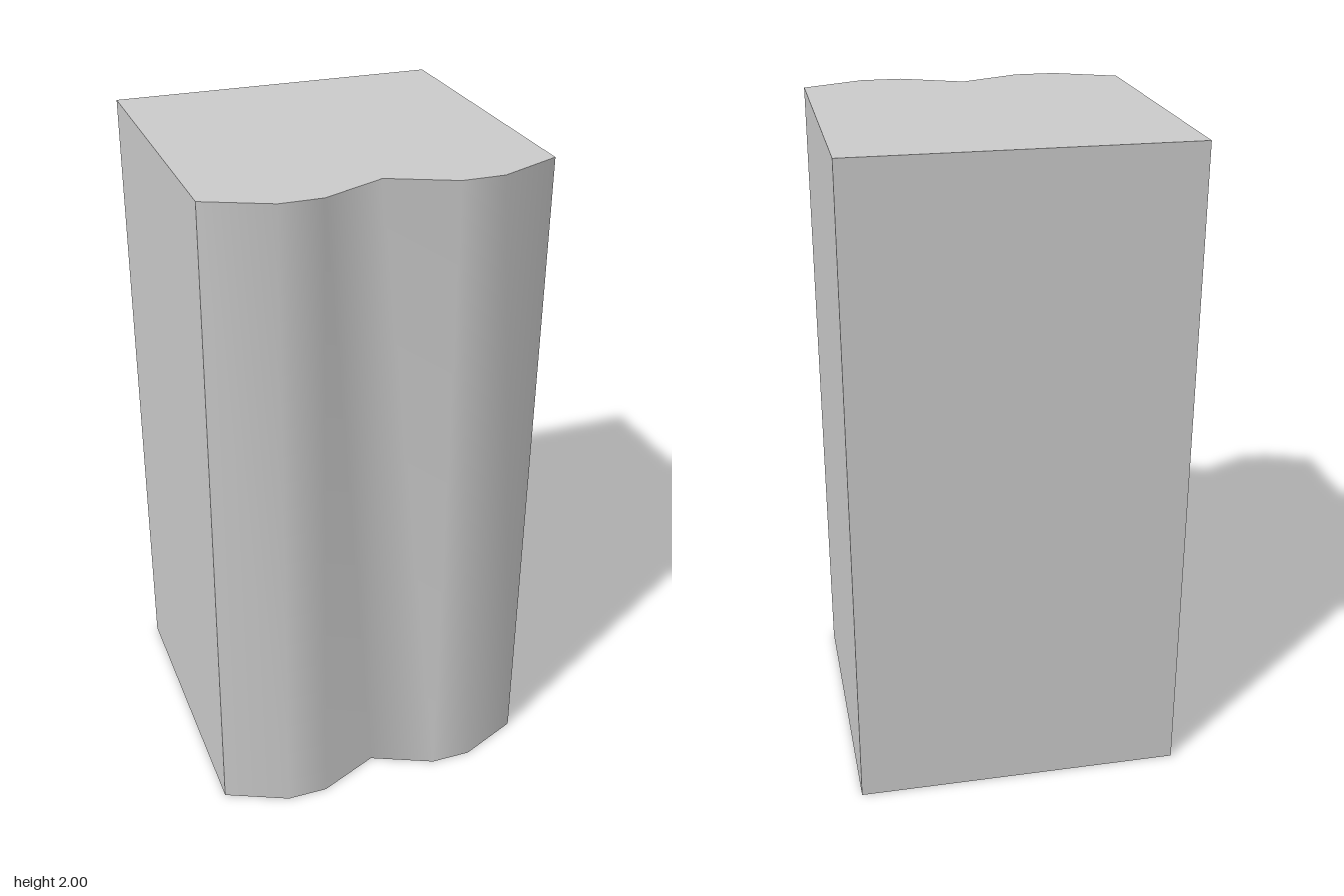
import * as THREE from 'three';
import { toCreasedNormals } from 'three/addons/utils/BufferGeometryUtils.js';

export function createModel() {
  const group = new THREE.Group();
  group.name = 'flutedBlock';

  const height = 2, half = 0.5, valley = 0.416;

  // Footprint: straight back and sides, two bevelled ribs across the front (shape y = -z)
  const footprint = new THREE.Shape();
  footprint.moveTo(-half, half);
  footprint.lineTo(-half, -valley);
  for (const centre of [-0.25, 0.25]) {
    footprint.lineTo(centre - 0.0625, -half);
    footprint.lineTo(centre + 0.0625, -half);
    footprint.lineTo(centre + 0.25, -valley);
  }
  footprint.lineTo(half, half);
  footprint.closePath();

  // Raise the footprint; ribs shade smoothly while the block's corners stay sharp
  const raised = new THREE.ExtrudeGeometry(footprint, { depth: height, bevelEnabled: false });
  raised.rotateX(-Math.PI / 2);
  const geometry = toCreasedNormals(raised, THREE.MathUtils.degToRad(56));

  const block = new THREE.Mesh(geometry, new THREE.MeshStandardMaterial({ color: 0xcccccc }));
  block.name = 'ribbedBlock';
  group.add(block);
  return group;
}
